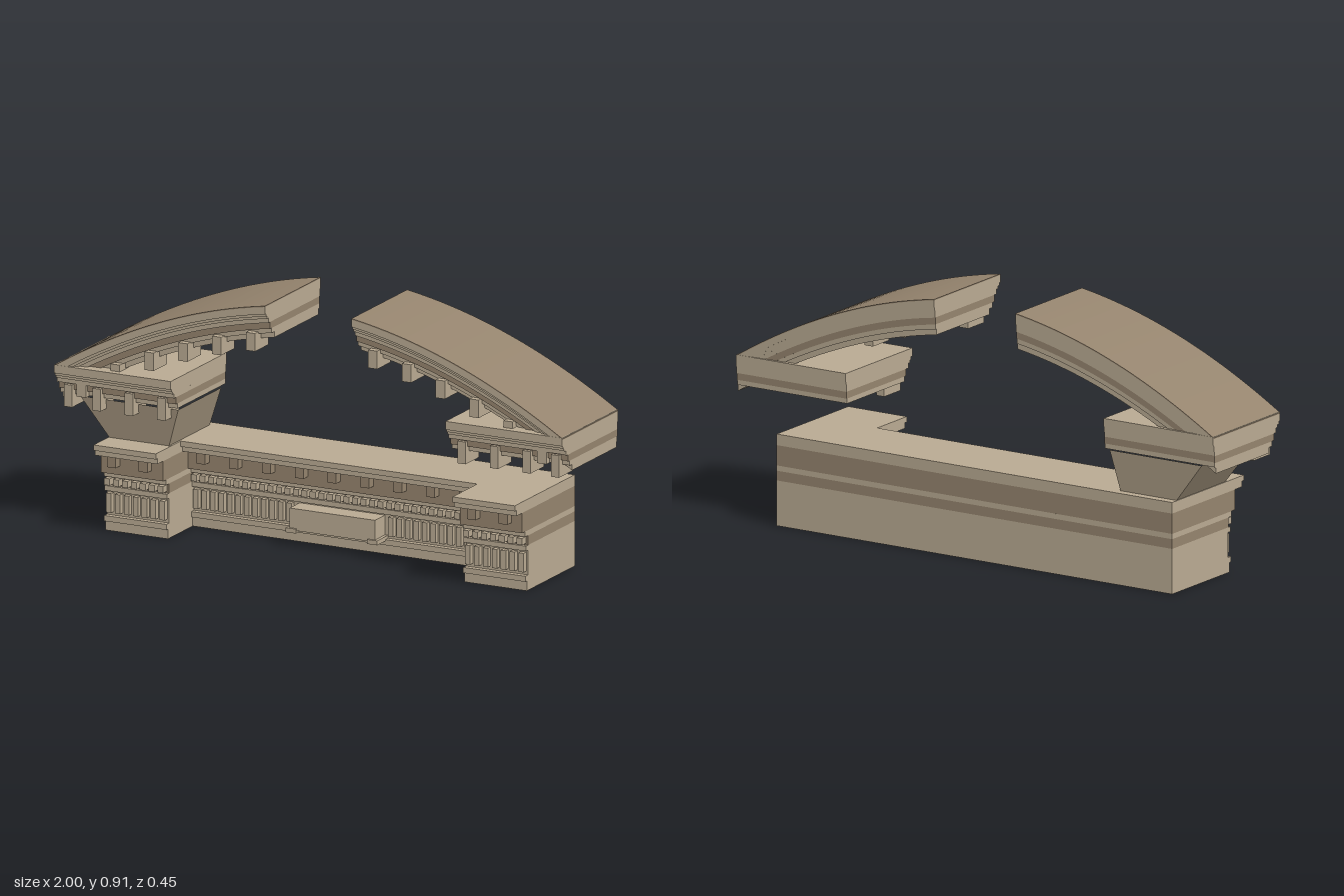
import * as THREE from 'three';

const mat = (name, color) => {
  const m = new THREE.MeshStandardMaterial({ color });
  m.name = name;
  return m;
};

export function createModel() {
  const light = mat('lightStone', 0xb9aa92);
  const dark = mat('darkStone', 0x95846e);
  const mid = mat('midStone', 0xa5967f);
  const root = new THREE.Group();
  root.name = 'brokenPediment';

  const group = (name) => {
    const g = new THREE.Group();
    g.name = name;
    root.add(g);
    return g;
  };
  const box = (parent, name, m, x0, x1, y0, y1, z0, z1) => {
    const mesh = new THREE.Mesh(new THREE.BoxGeometry(x1 - x0, y1 - y0, z1 - z0), m);
    mesh.position.set((x0 + x1) / 2, (y0 + y1) / 2, (z0 + z1) / 2);
    mesh.name = name;
    parent.add(mesh);
  };

  // Entablature courses: bottom, top, front z, material
  const courses = [
    [0, 0.035, 0.135, light], [0.035, 0.055, 0.145, light],
    [0.055, 0.145, 0.125, light], [0.145, 0.163, 0.142, light],
    [0.163, 0.198, 0.128, dark], [0.198, 0.217, 0.148, light],
    [0.217, 0.29, 0.17, dark], [0.29, 0.31, 0.213, light],
    [0.31, 0.33, 0.225, light],
  ];
  const BACK = -0.222;
  const RECESS = 0.185;
  const section = (name, x0, x1, dz, dentilXs) => {
    const g = group(name);
    for (const [y0, y1, z, m] of courses) box(g, 'course', m, x0, x1, y0, y1, BACK, z - dz);
    for (const x of dentilXs) box(g, 'dentil', dark, x - 0.017, x + 0.017, 0.25, 0.29, 0.165 - dz, 0.203 - dz);
    // Bead row and upright flutes
    const n = Math.round((x1 - x0) / 0.0335);
    const step = (x1 - x0) / n;
    for (let i = 0; i < n; i++) {
      const x = x0 + (i + 0.5) * step;
      box(g, 'bead', light, x - 0.011, x + 0.011, 0.17, 0.194, 0.12 - dz, 0.158 - dz);
      if (dz && Math.abs(x) < 0.17) continue;
      box(g, 'flute', light, x - 0.01, x + 0.01, 0.068, 0.137, 0.12 - dz, 0.145 - dz);
    }
  };
  const middleDentils = Array.from({ length: 9 }, (_, i) => (i - 4) * 0.129);
  section('middleEntablature', -0.583, 0.583, RECESS, middleDentils);
  section('rightEndBlock', -0.828, -0.583, 0, [-0.77, -0.645]);
  section('leftEndBlock', 0.583, 0.828, 0, [0.645, 0.77]);

  // Plain tablet on two small brackets
  const tablet = group('tablet');
  box(tablet, 'tabletPanel', light, -0.168, 0.168, 0.058, 0.137, -0.07, 0.015);
  for (const s of [-1, 1]) box(tablet, 'tabletBracket', light, s * 0.16 - 0.02, s * 0.16 + 0.02, 0.05, 0.066, -0.07, 0.022);

  // Tapered support under one cornice only
  const corners = [
    [-0.825, 0.33, 0.113], [-0.59, 0.33, 0.113], [-0.59, 0.33, -0.19], [-0.825, 0.33, -0.19],
    [-0.93, 0.47, 0.13], [-0.545, 0.47, 0.13], [-0.545, 0.47, -0.19], [-0.93, 0.47, -0.19],
  ];
  const support = new THREE.BufferGeometry();
  const pos = [];
  for (let i = 0; i < 4; i++) {
    const j = (i + 1) % 4;
    for (const k of [i, j, j + 4, i, j + 4, i + 4]) pos.push(...corners[k]);
  }
  support.setAttribute('position', new THREE.Float32BufferAttribute(pos, 3));
  support.computeVertexNormals();
  const supportMesh = new THREE.Mesh(support, mid);
  supportMesh.name = 'taperedSupport';
  root.add(supportMesh);

  // Cornice layers: depth below top (start, end), front z, back z, material
  const layers = [
    [0.004, 0.03, 0.195, -0.22, light], [0.03, 0.04, 0.187, -0.218, light],
    [0.04, 0.05, 0.18, -0.216, light], [0.05, 0.067, 0.17, -0.215, light],
    [0.067, 0.092, 0.156, -0.213, dark], [0.092, 0.11, 0.145, -0.211, light],
  ];
  const topY = (x) => 0.912 - 0.16 * (x - 0.17) - 0.279 * (x - 0.17) ** 2;
  const arcLayer = (g, s, v0, v1, z1, z0, m, name) => {
    const pts = [];
    const N = 24;
    const at = (i, v) => {
      const x = 0.17 + (0.83 * i) / N;
      return new THREE.Vector2(s * x, topY(x) - v);
    };
    for (let i = 0; i <= N; i++) pts.push(at(i, v0));
    for (let i = N; i >= 0; i--) pts.push(at(i, v1));
    const geo = new THREE.ExtrudeGeometry(new THREE.Shape(pts), { depth: z1 - z0, bevelEnabled: false });
    geo.translate(0, 0, z0);
    const mesh = new THREE.Mesh(geo, m);
    mesh.name = name;
    g.add(mesh);
  };

  for (const s of [-1, 1]) {
    const side = s < 0 ? 'right' : 'left';
    const span = (a, b) => (s > 0 ? [a, b] : [-b, -a]);

    // Curved raking cornice with a dark top
    const arc = group(side + 'CurvedCornice');
    arcLayer(arc, s, 0, 0.004, 0.195, -0.22, dark, 'curvedTop');
    for (const [v0, v1, z1, z0, m] of layers) arcLayer(arc, s, v0, v1, z1, z0, m, 'curvedLayer');
    arcLayer(arc, s, 0.11, 0.131, 0.125, -0.206, light, 'curvedSoffit');
    for (let i = 0; i < 6; i++) {
      const x = 0.24 + 0.133 * i;
      const y = topY(x);
      box(arc, 'curvedDentil', light, ...span(x - 0.018, x + 0.018), y - 0.165, y - 0.1, 0.07, 0.17);
    }

    // Short horizontal cornice below
    const flat = group(side + 'FlatCornice');
    const [x0, x1] = span(0.54, 0.999);
    for (const [v0, v1, z1, z0, m] of layers) {
      box(flat, 'flatLayer', m, x0, x1, 0.59 - v1, 0.59 - (v0 < 0.01 ? 0 : v0), z0 - 0.001, z1 + 0.001);
    }
    for (const x of [0.59, 0.718, 0.845, 0.957]) {
      box(flat, 'flatDentil', light, ...span(x - 0.016, x + 0.016), 0.437, 0.517, 0.07, 0.171);
    }
  }
  return root;
}
